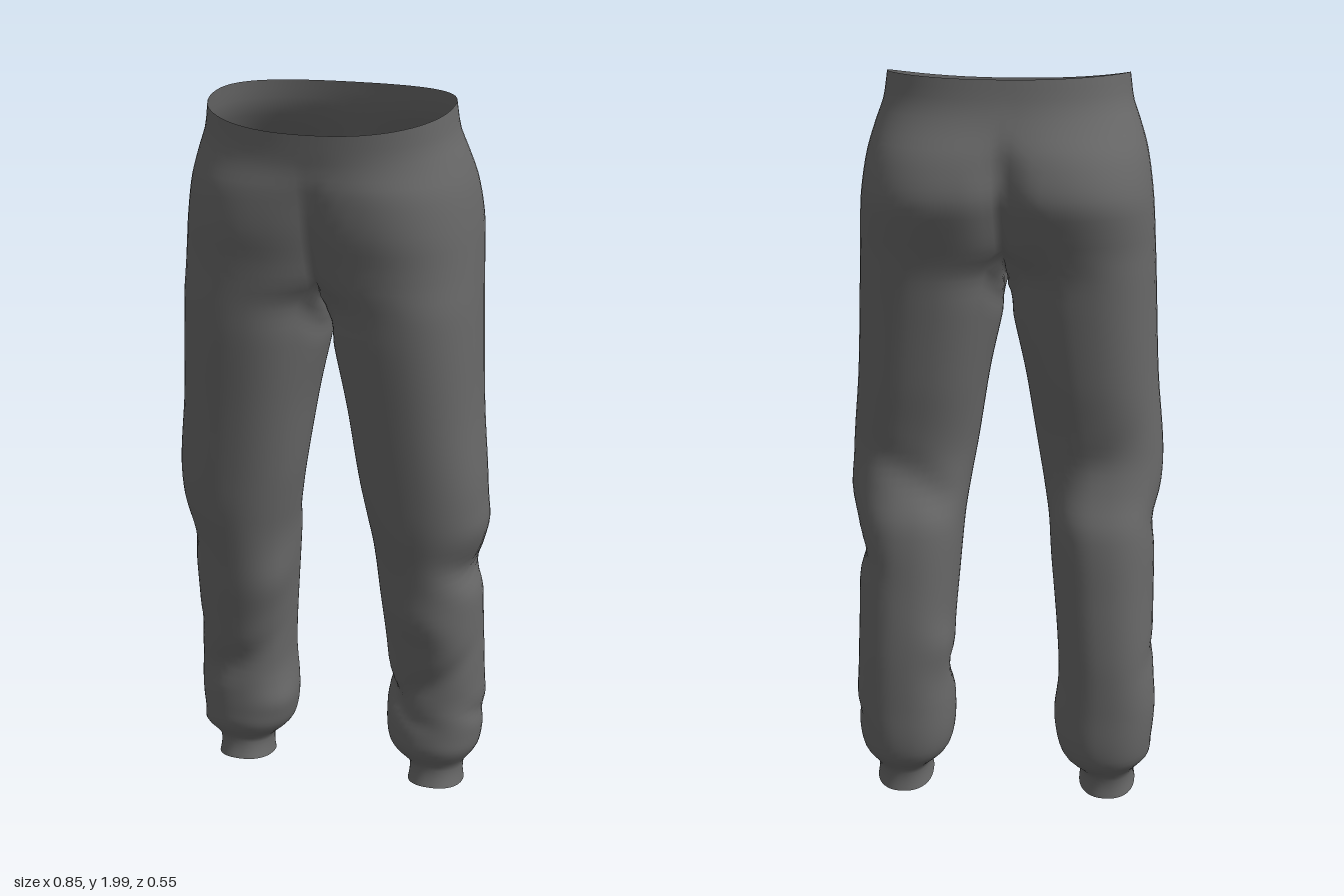
import * as THREE from 'three';
import { mergeVertices } from 'three/addons/utils/BufferGeometryUtils.js';

// Section profile of one half: height, inner x, outer x, front z, back z.
// A negative inner x means the section is cut off at the centre seam.
const ROWS = [
  [2.00, -0.315, 0.315, 0.272, -0.185],
  [1.93, -0.300, 0.325, 0.268, -0.195],
  [1.88, -0.250, 0.342, 0.266, -0.212],
  [1.80, -0.160, 0.365, 0.273, -0.250],
  [1.70, -0.110, 0.380, 0.273, -0.272],
  [1.62, -0.080, 0.386, 0.262, -0.250],
  [1.56, -0.050, 0.389, 0.257, -0.228],
  [1.50, 0.004, 0.392, 0.252, -0.210],
  [1.40, 0.016, 0.396, 0.245, -0.195],
  [1.20, 0.050, 0.405, 0.222, -0.167],
  [1.00, 0.082, 0.422, 0.200, -0.136],
  [0.90, 0.100, 0.420, 0.188, -0.152],
  [0.80, 0.115, 0.408, 0.170, -0.190],
  [0.60, 0.133, 0.405, 0.130, -0.205],
  [0.45, 0.145, 0.408, 0.100, -0.211],
  [0.36, 0.148, 0.411, 0.082, -0.209],
  [0.28, 0.142, 0.416, 0.080, -0.205],
  [0.20, 0.143, 0.410, 0.080, -0.200],
  [0.15, 0.155, 0.400, 0.078, -0.187],
  [0.12, 0.180, 0.380, 0.066, -0.165],
  [0.095, 0.208, 0.363, 0.046, -0.146],
  [0.06, 0.212, 0.360, 0.046, -0.140],
  [0.03, 0.208, 0.364, 0.055, -0.143],
];

// Cloth folds: height, angle (0 = outside, + = front), depth, height spread, angle spread, slope
const FOLDS = {
  1: [
    [0.73, 0.1, -0.028, 0.05, 0.8, 0.04], [0.87, 0.1, 0.010, 0.06, 0.7, 0],
    [0.34, 2.6, -0.022, 0.04, 0.8, 0.08], [0.40, 1.4, -0.012, 0.04, 0.8, -0.08],
    [0.27, 0.1, -0.012, 0.03, 0.7, 0.05], [0.60, 1.6, 0.010, 0.07, 0.7, 0.05],
    [0.92, -1.8, -0.012, 0.05, 0.7, 0.10], [0.45, -2.6, 0.012, 0.06, 0.6, 0.05],
  ],
  [-1]: [
    [0.80, 0.1, -0.012, 0.06, 0.7, -0.05], [0.93, -2.0, -0.014, 0.05, 0.7, 0.12],
    [0.38, 1.6, -0.014, 0.04, 0.8, 0.08], [0.24, 2.6, 0.010, 0.05, 0.7, 0],
    [0.45, 0.0, -0.008, 0.04, 0.7, 0.06], [0.65, 2.4, 0.012, 0.08, 0.6, 0.05],
    [0.13, 0.2, 0.018, 0.025, 0.7, 0],
  ],
};

const OUTER = 40, INNER = 20, N = OUTER + INNER;
const POWER = 2.3, CROTCH = 1.56;
const { lerp, clamp, smoothstep } = THREE.MathUtils;

// Smooth interpolation of the profile at a height
function section(y) {
  let i = 0;
  while (i < ROWS.length - 2 && y < ROWS[i + 1][0]) i++;
  const a = ROWS[i], b = ROWS[i + 1];
  const prev = ROWS[Math.max(i - 1, 0)], next = ROWS[Math.min(i + 2, ROWS.length - 1)];
  const h = b[0] - a[0], t = clamp((y - a[0]) / h, 0, 1);
  return [1, 2, 3, 4].map(k => {
    const m0 = (b[k] - prev[k]) / (b[0] - prev[0]) * h;
    const m1 = (next[k] - a[k]) / (next[0] - a[0]) * h;
    const t2 = t * t, t3 = t2 * t;
    return (2 * t3 - 3 * t2 + 1) * a[k] + (t3 - 2 * t2 + t) * m0
      + (3 * t2 - 2 * t3) * b[k] + (t3 - t2) * m1;
  });
}

const seamAngle = (cx, rx) => Math.acos(-Math.pow(clamp(cx / rx, 0, 1), POWER / 2));
const bend = v => Math.sign(v) * Math.pow(Math.abs(v), 2 / POWER);

// One ring: outside arc from front seam to back seam, then the inside arc back
function ring(y, side, isLeg) {
  const [xi, xo, zf, zb] = section(y);
  const cx = (xi + xo) / 2, rx = (xo - xi) / 2, cz = (zf + zb) / 2, rz = (zf - zb) / 2;
  const [ci, co] = section(CROTCH);
  const seam = y < CROTCH ? seamAngle((ci + co) / 2, (co - ci) / 2) : seamAngle(cx, rx);
  const atSeam = y >= CROTCH;
  const points = [];
  for (let j = 0; j < N; j++) {
    const inside = j > OUTER, u = (j - OUTER) / INNER;
    const angle = inside ? lerp(-seam, seam - 2 * Math.PI, u) : seam * (1 - 2 * j / OUTER);
    let x = rx * bend(Math.cos(angle)), z = rz * bend(Math.sin(angle));
    // folds push the cloth in or out
    let scale = 1;
    for (const [fy, fa, depth, sy, sa, slope] of FOLDS[side]) {
      let d = angle - fa;
      d = Math.atan2(Math.sin(d), Math.cos(d));
      const e = (y - fy - slope * d) / sy;
      scale += depth / 0.15 * Math.exp(-e * e - (d / sa) ** 2);
    }
    x = cx + x * scale;
    z = cz + z * scale;
    // cleft between the two halves of the seat
    if (z < 0) z += 0.018 * Math.exp(-((x / 0.05) ** 2)) * smoothstep(y, 1.5, 1.68) * (1 - smoothstep(y, 1.75, 1.9));
    if (atSeam && (inside || j === 0 || j === OUTER)) x = 0;
    else x = Math.max(x, isLeg ? 0.004 : 0);
    // dipped waist, sagging crotch and tilted hem
    let py = y - 0.4 * (z + 0.08) ** 2 * clamp((y - 1.8) / 0.2, 0, 1);
    if (inside) py -= 0.07 * Math.sin(Math.PI * u) * smoothstep(y, 1.15, CROTCH);
    py += 0.2 * (z + 0.045) * (1 - smoothstep(y, 0.12, 0.3));
    points.push([side * x, py, z]);
  }
  return points;
}

const steps = (a, b, n) => Array.from({ length: n }, (_, i) => lerp(a, b, i / n));

export function createModel() {
  const cloth = new THREE.MeshStandardMaterial({ color: 0x686868, side: THREE.DoubleSide });
  cloth.name = 'charcoal cloth';

  const positions = [], parts = { hips: [] };

  // Join neighbouring rings with quads
  function loft(heights, side, isLeg, target, columns) {
    const start = positions.length / 3;
    heights.forEach(y => ring(y, side, isLeg).forEach(p => positions.push(...p)));
    for (let i = 0; i < heights.length - 1; i++) {
      for (let j = 0; j < columns; j++) {
        const k = (j + 1) % N;
        const a = start + i * N + j, b = start + i * N + k, c = a + N, d = b + N;
        if (side > 0) target.push(a, c, b, b, c, d);
        else target.push(a, b, c, b, d, c);
      }
    }
  }

  const hipHeights = [...steps(2, CROTCH, 18), CROTCH];
  const legHeights = [...steps(CROTCH, 0.3, 50), ...steps(0.3, 0.095, 14), 0.095];
  const cuffHeights = [...steps(0.095, 0.03, 5), 0.03];
  for (const side of [1, -1]) {
    const name = side > 0 ? 'left' : 'right';
    loft(hipHeights, side, false, parts.hips, OUTER);
    loft(legHeights, side, true, parts[name + 'Leg'] = [], N);
    loft(cuffHeights, side, true, parts[name + 'Cuff'] = [], N);
  }

  // Weld everything so the shading runs smoothly across the parts
  let whole = new THREE.BufferGeometry();
  whole.setAttribute('position', new THREE.Float32BufferAttribute(positions, 3));
  whole.setIndex(Object.values(parts).flat());
  whole = mergeVertices(whole, 1e-5);
  whole.computeVertexNormals();

  const model = new THREE.Group();
  model.name = 'trousers';
  const index = Array.from(whole.index.array);
  let from = 0;
  for (const [name, list] of Object.entries(parts)) {
    const geometry = new THREE.BufferGeometry();
    geometry.setAttribute('position', whole.attributes.position);
    geometry.setAttribute('normal', whole.attributes.normal);
    geometry.setIndex(index.slice(from, from += list.length));
    const mesh = new THREE.Mesh(geometry, cloth);
    mesh.name = name;
    model.add(mesh);
  }
  return model;
}
